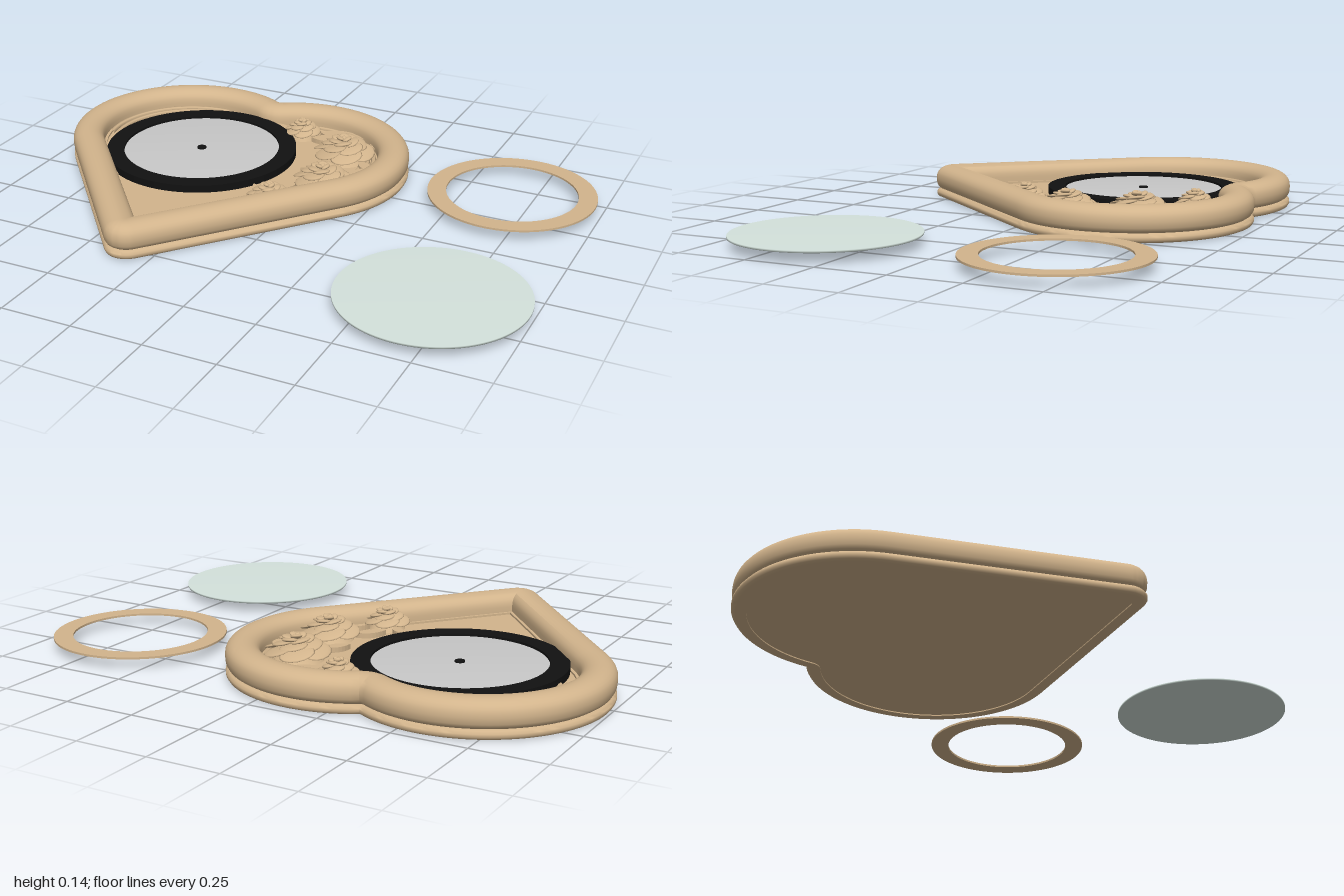
import * as THREE from 'three';
import { toCreasedNormals } from 'three/addons/utils/BufferGeometryUtils.js';

const mat = (name, color, side = THREE.FrontSide) => {
  const m = new THREE.MeshStandardMaterial({ color, side });
  m.name = name;
  return m;
};

// Heart outline moved inward by d, as [x, z] pairs: notch, right lobe, tip, then mirrored
function heart(d) {
  const cx = 0.22, cz = -0.30, R = 0.43, rt = 0.08, tipZ = 0.5, phi = 0.703;
  const notchZ = cz - Math.sqrt(R * R - cx * cx);
  const open = Math.atan2(cx, cz - notchZ);
  const half = [];
  for (let i = 0; i <= 8; i++) {
    const a = open * i / 8;
    half.push([d * Math.sin(a), notchZ + d * Math.cos(a)]);
  }
  const start = -Math.PI / 2 - open;
  for (let i = 1; i <= 48; i++) {
    const a = start + (phi - start) * i / 48;
    half.push([cx + (R - d) * Math.cos(a), cz + (R - d) * Math.sin(a)]);
  }
  const r = Math.max(0, rt - d);
  const z = tipZ - Math.max(0, d - rt) / Math.sin(phi);
  for (let i = 0; i <= 8; i++) {
    const a = phi + (Math.PI / 2 - phi) * i / 8;
    half.push([i === 8 ? 0 : r * Math.cos(a), z + r * Math.sin(a)]);
  }
  return [...half, ...half.slice(1, -1).reverse().map(([x, zz]) => [-x, zz])];
}

// Sweeps a profile of [inset, height] pairs round the heart
function heartSweep(profile) {
  const pos = [], idx = [];
  const n = heart(0).length;
  profile.forEach(([d, y]) => heart(d).forEach(([x, z]) => pos.push(x, y, z)));
  for (let i = 0; i < profile.length - 1; i++) {
    for (let j = 0; j < n; j++) {
      const a = i * n + j, b = i * n + (j + 1) % n;
      idx.push(a, b, a + n, b, b + n, a + n);
    }
  }
  const g = new THREE.BufferGeometry();
  g.setAttribute('position', new THREE.Float32BufferAttribute(pos, 3));
  g.setIndex(idx);
  return toCreasedNormals(g, 0.75);
}

// Flat heart facing up (dir 1) or down (dir -1)
function heartPlate(d, y, dir) {
  const shape = new THREE.Shape(heart(d).map(([x, z]) => new THREE.Vector2(x, -dir * z)));
  return new THREE.ShapeGeometry(shape).rotateX(-dir * Math.PI / 2).translate(0, y, 0);
}

function flatRing(outer, inner, height) {
  const s = new THREE.Shape().absarc(0, 0, outer, 0, Math.PI * 2);
  s.holes.push(new THREE.Path().absarc(0, 0, inner, 0, Math.PI * 2, true));
  return new THREE.ExtrudeGeometry(s, { depth: height, bevelEnabled: false, curveSegments: 48 })
    .rotateX(-Math.PI / 2);
}

// Thin disc with softly rounded shading at the rim
function softDisc(r, t) {
  const pts = [[0, 0], [r, 0], [r, t], [0, t]].map(p => new THREE.Vector2(...p));
  return new THREE.LatheGeometry(pts, 96);
}

export function createModel() {
  const model = new THREE.Group();
  const tan = mat('tan', 0xd2b48c);
  const black = mat('black', 0x111111);
  const silver = mat('silver', 0xc8c8c8);
  const glass = mat('paleGlass', 0xd4e2dc);

  const add = (parent, name, geo, material, x = 0, y = 0, z = 0) => {
    const m = new THREE.Mesh(geo, material);
    m.name = name;
    m.position.set(x, y, z);
    parent.add(m);
    return m;
  };

  // Heart case: rounded rim, groove, lower lip
  const box = new THREE.Group();
  box.name = 'heartCase';
  box.position.x = -0.35;
  model.add(box);
  const profile = [[0.125, 0.045], [0.125, 0.052], [0.115, 0.052]];
  for (let i = 0; i <= 14; i++) {
    const a = Math.PI * i / 14;
    profile.push([0.0575 + 0.0575 * Math.cos(a), 0.07 + 0.05 * Math.sin(a) ** 0.8]);
  }
  profile.push([0.002, 0.05], [0.009, 0.038], [0.018, 0.032], [0.008, 0.029], [0.001, 0.021],
    [0.001, 0.012], [0.006, 0.004], [0.016, 0], [0.05, 0], [0.05, 0.004], [0.06, 0.004]);
  add(box, 'rim', heartSweep(profile), tan);
  add(box, 'floor', heartPlate(0.12, 0.045, 1), tan);
  add(box, 'underside', heartPlate(0.055, 0.004, -1), tan);

  // Stepped ridges inside each lobe
  for (const s of [-1, 1]) {
    [0.30, 0.278, 0.256].forEach((r, i) => {
      const arc = new THREE.TorusGeometry(r, 0.009, 6, 40, 1.9).rotateX(-Math.PI / 2);
      arc.rotateY(s < 0 ? 1.5 : -0.25);
      add(box, 'lobeRidge', arc, tan, s * 0.22, 0.054 - i * 0.003, -0.30);
    });
  }

  // Round display: black ring, silver face and centre dot
  const face = new THREE.Group();
  face.name = 'roundInset';
  face.position.set(-0.465, 0.04, -0.22);
  model.add(face);
  add(face, 'blackRing', flatRing(0.352, 0.288, 0.032), black);
  add(face, 'silverFace', softDisc(0.29, 0.024), silver);
  add(face, 'centreDot', new THREE.CylinderGeometry(0.017, 0.017, 0.006, 24), black, 0, 0.026, 0);

  // Roses: tilted overlapping petals in rising layers round a bud
  const petalGeo = new THREE.SphereGeometry(1, 14, 8);
  const rose = (x, z, r, top) => {
    const g = new THREE.Group();
    g.name = 'rose';
    g.position.set(x, 0.045, z);
    const h = top - 0.045;
    add(g, 'roseBase', new THREE.CylinderGeometry(r * 0.3, r * 0.75, h * 0.7, 20), tan, 0, h * 0.35, 0);
    const layers = [[6, 0.62, 0.44, 0.42, -0.3], [5, 0.42, 0.36, 0.62, -0.15],
      [5, 0.26, 0.25, 0.78, 0.15], [3, 0.12, 0.15, 0.9, 0.35]];
    layers.forEach(([n, dist, size, lift, tilt], k) => {
      for (let i = 0; i < n; i++) {
        const pivot = new THREE.Group();
        pivot.name = 'petalPivot';
        pivot.rotation.y = (i / n) * Math.PI * 2 + k * 0.6;
        g.add(pivot);
        const p = add(pivot, 'petal', petalGeo, tan, dist * r, lift * h, 0);
        p.scale.set(size * r * 0.85, 0.007, size * r * 1.15);
        p.rotation.set(0.18, 0, tilt);
      }
    });
    add(g, 'roseBud', new THREE.SphereGeometry(r * 0.1, 12, 8), tan, 0, h - r * 0.1, 0);
    model.add(g);
  };
  rose(-0.19, -0.52, 0.072, 0.12);
  rose(0.035, -0.40, 0.118, 0.135);
  rose(0.062, -0.15, 0.11, 0.13);
  rose(-0.045, 0.06, 0.085, 0.123);

  // Leaves tucked between the roses: [x, z, heading, length]
  const leafShape = new THREE.Shape();
  leafShape.moveTo(0, 0);
  leafShape.quadraticCurveTo(0.45, 0.42, 1, 0);
  leafShape.quadraticCurveTo(0.45, -0.42, 0, 0);
  const leafGeo = new THREE.ExtrudeGeometry(leafShape, { depth: 1, bevelEnabled: false, curveSegments: 8 })
    .rotateX(-Math.PI / 2);
  const leaves = [[-0.14, -0.49, 0.3, 0.15], [-0.13, -0.55, 0.1, 0.18], [-0.24, -0.52, 2.8, 0.1],
    [0.08, -0.48, 0.9, 0.1], [0.11, -0.36, -0.6, 0.1], [0.12, -0.24, 0.9, 0.11],
    [0.0, -0.3, -2.2, 0.1], [0.1, -0.08, -1.3, 0.12], [-0.01, -0.1, -2.3, 0.11],
    [0.0, 0.02, 0.7, 0.1], [-0.09, 0.03, 2.4, 0.08]];
  leaves.forEach(([x, z, heading, len]) => {
    const leaf = add(model, 'leaf', leafGeo, tan, x, 0.045, z);
    leaf.scale.set(len, 0.018, len);
    leaf.rotation.y = heading;
  });

  // Loose parts beside the case
  add(model, 'looseRing', flatRing(0.298, 0.232, 0.007), tan, 0.685, 0.034, -0.395);
  add(model, 'looseGlass', softDisc(0.312, 0.007), glass, 0.688, 0.034, 0.412);
  return model;
}
